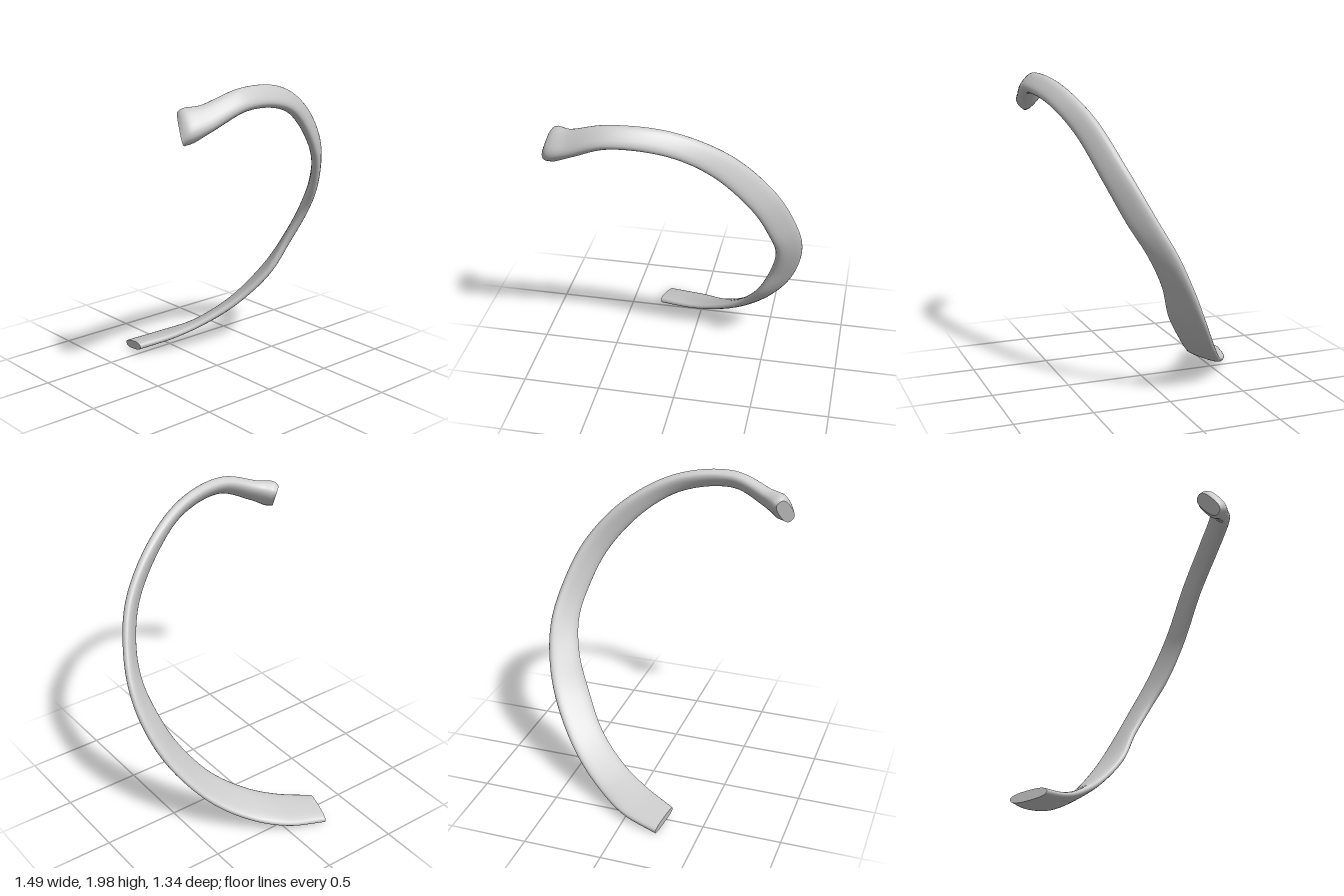
import * as THREE from 'three';

// Stations along the bone: outer edge xyz, inner edge xyz, thickness
const STATIONS = [
  [-0.675, 1.87, 0.44, -0.735, 1.715, 0.56, 0.09],
  [-0.655, 1.89, 0.46, -0.685, 1.735, 0.59, 0.13],
  [-0.58, 1.905, 0.51, -0.57, 1.785, 0.62, 0.1],
  [-0.34, 1.98, 0.565, -0.34, 1.875, 0.655, 0.085],
  [0.0, 1.95, 0.52, 0.0, 1.83, 0.6, 0.075],
  [0.33, 1.78, 0.42, 0.24, 1.68, 0.51, 0.07],
  [0.575, 1.51, 0.31, 0.46, 1.42, 0.41, 0.065],
  [0.69, 1.24, 0.18, 0.56, 1.18, 0.3, 0.06],
  [0.732, 1.0, 0.05, 0.59, 1.0, 0.19, 0.06],
  [0.7, 0.76, -0.07, 0.55, 0.79, 0.08, 0.06],
  [0.605, 0.53, -0.19, 0.46, 0.57, 0.0, 0.06],
  [0.42, 0.285, -0.34, 0.31, 0.36, -0.14, 0.055],
  [0.2, 0.13, -0.48, 0.12, 0.22, -0.265, 0.055],
  [0.0, 0.07, -0.6, -0.06, 0.14, -0.355, 0.055],
  [-0.24, 0.035, -0.675, -0.285, 0.085, -0.46, 0.06],
];
const RINGS = 140, SIDES = 24;

function ribGeometry() {
  const curve = (o) => new THREE.CatmullRomCurve3(
    STATIONS.map((s) => new THREE.Vector3(s[o], s[o + 1], s[o + 2])));
  const outer = curve(0), inner = curve(3);
  const thickness = new THREE.CatmullRomCurve3(STATIONS.map((s, i) => new THREE.Vector3(i, s[6], 0)));
  const center = (t) => outer.getPoint(t).lerp(inner.getPoint(t), 0.5);
  const pos = [], index = [];
  const soft = (v) => Math.sign(v) * Math.abs(v) ** 0.75;

  // Flattened oval rings spanning the two edges
  const addRing = (t) => {
    const c = center(t);
    const w = outer.getPoint(t).sub(c);
    const tangent = center(Math.min(1, t + 0.004)).sub(center(Math.max(0, t - 0.004)));
    const n = tangent.cross(w).normalize().multiplyScalar(thickness.getPoint(t).y / 2);
    for (let j = 0; j < SIDES; j++) {
      const a = (j / SIDES) * Math.PI * 2;
      const p = c.clone().addScaledVector(w, soft(Math.cos(a))).addScaledVector(n, soft(Math.sin(a)));
      pos.push(p.x, p.y, p.z);
    }
  };
  for (let i = 0; i <= RINGS; i++) addRing(i / RINGS);
  for (let i = 0; i < RINGS; i++) {
    for (let j = 0; j < SIDES; j++) {
      const a = i * SIDES + j, b = i * SIDES + (j + 1) % SIDES;
      index.push(a, b, a + SIDES, b, b + SIDES, a + SIDES);
    }
  }
  // End caps with their own rings, so the rims stay crisp
  for (const t of [0, 1]) {
    const start = pos.length / 3;
    addRing(t);
    const c = center(t);
    pos.push(c.x, c.y, c.z);
    for (let j = 0; j < SIDES; j++) {
      const a = start + j, b = start + (j + 1) % SIDES;
      index.push(start + SIDES, t ? a : b, t ? b : a);
    }
  }
  const g = new THREE.BufferGeometry();
  g.setAttribute('position', new THREE.Float32BufferAttribute(pos, 3));
  g.setIndex(index);
  g.computeVertexNormals();
  return g;
}

export function createModel() {
  const group = new THREE.Group();
  group.name = 'rib';
  const bone = new THREE.MeshStandardMaterial({ color: 0xcccccc });
  bone.name = 'bone grey';
  const mesh = new THREE.Mesh(ribGeometry(), bone);
  mesh.name = 'ribBone';
  group.add(mesh);
  return group;
}
